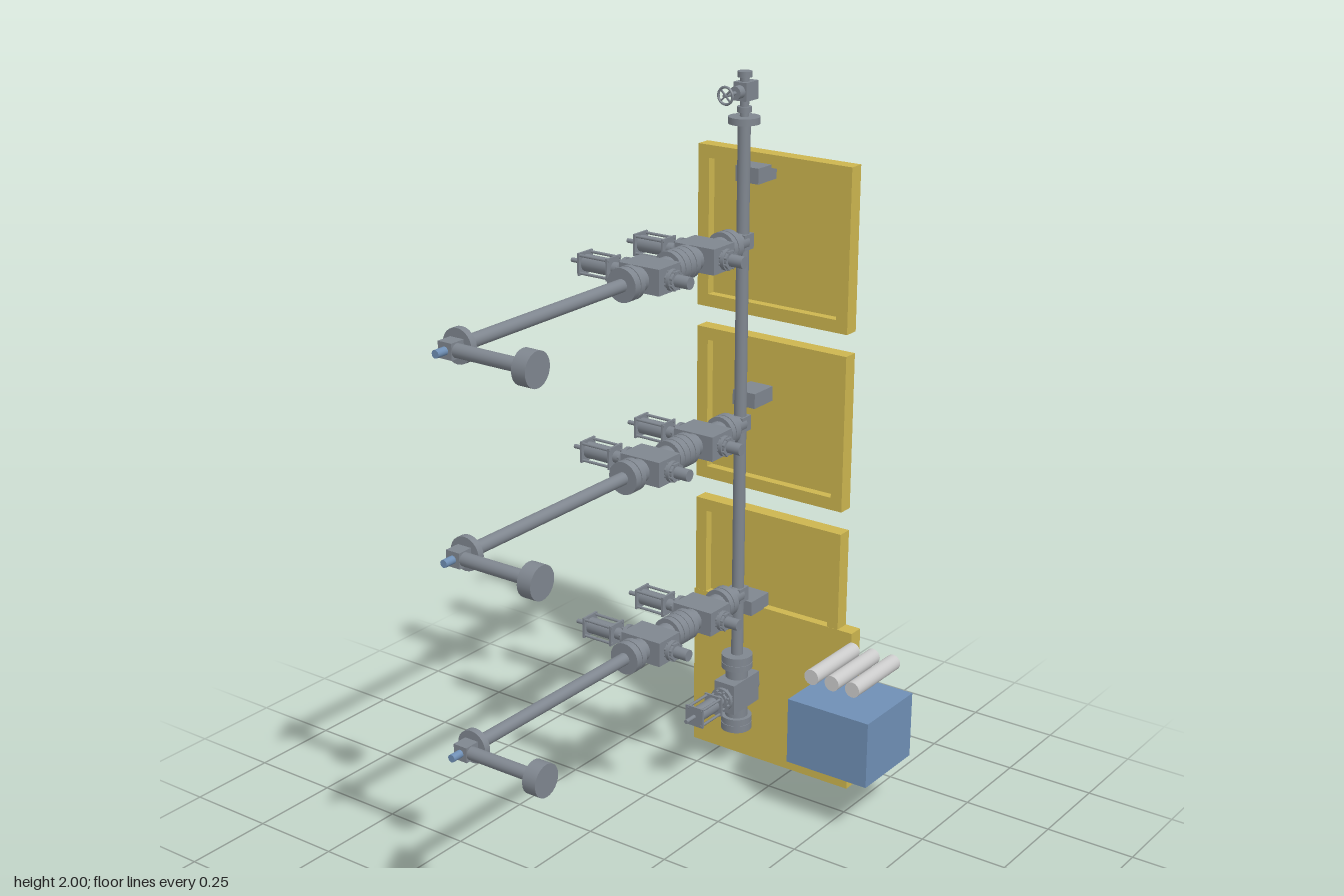
import * as THREE from 'three';

const mat = (color) => new THREE.MeshStandardMaterial({ color });
const steel = mat(0x7f868f), yellow = mat(0xccb54f), blue = mat(0x6f8fb5), grey = mat(0xcccccc);
const PX = -0.142, PZ = -0.54; // riser axis

function add(parent, name, geo, material, x = 0, y = 0, z = 0) {
  const m = new THREE.Mesh(geo, material);
  m.name = name;
  m.position.set(x, y, z);
  parent.add(m);
  return m;
}

const box = (parent, name, material, x0, x1, y0, y1, z0, z1) =>
  add(parent, name, new THREE.BoxGeometry(x1 - x0, y1 - y0, z1 - z0), material,
    (x0 + x1) / 2, (y0 + y1) / 2, (z0 + z1) / 2);

// cylinder along an axis, from a to b on that axis; c holds the centre of the other two axes
function rod(parent, name, axis, a, b, r, c = [0, 0, 0], material = steel, sides = 24) {
  const geo = new THREE.CylinderGeometry(r, r, Math.abs(b - a), sides);
  if (axis === 'x') geo.rotateZ(Math.PI / 2);
  if (axis === 'z') geo.rotateX(Math.PI / 2);
  const m = add(parent, name, geo, material, ...c);
  m.position[axis] = (a + b) / 2;
  return m;
}

function group(parent, name) {
  const g = new THREE.Group();
  g.name = name;
  parent.add(g);
  return g;
}

// gate valve: flow along z, actuator towards -x
function valve(parent) {
  const v = group(parent, 'gateValve');
  box(v, 'valveBody', steel, -0.062, 0.062, -0.034, 0.034, -0.045, 0.045);
  rod(v, 'valveNeck', 'z', -0.116, 0.116, 0.032);
  for (const s of [-1, 1]) {
    rod(v, 'innerFlange', 'z', s * 0.075, s * 0.092, 0.044);
    rod(v, 'outerFlange', 'z', s * 0.095, s * 0.116, 0.044);
    rod(v, 'bonnetNeck', 'x', s * 0.06, s * 0.085, 0.024);
    rod(v, 'bonnetFlange', 'x', s * 0.068, s * 0.078, s < 0 ? 0.034 : 0.028);
    for (let i = 0; i < 8; i++) {
      const a = (i + 0.5) * Math.PI / 4, r = s < 0 ? 0.028 : 0.023;
      rod(v, 'bonnetBolt', 'x', s * 0.062, s * 0.086, 0.004, [0, r * Math.cos(a), r * Math.sin(a)], steel, 6);
    }
  }
  rod(v, 'tailRodCover', 'x', 0.07, 0.125, 0.016);
  rod(v, 'actuatorStem', 'x', -0.115, -0.08, 0.016);
  rod(v, 'actuatorCylinder', 'x', -0.2, -0.112, 0.022);
  for (const x of [-0.204, -0.114])
    box(v, 'actuatorPlate', steel, x - 0.003, x + 0.003, -0.029, 0.029, -0.029, 0.029);
  for (const y of [-1, 1]) for (const z of [-1, 1])
    rod(v, 'tieRod', 'x', -0.209, -0.109, 0.004, [0, y * 0.023, z * 0.023], steel, 8);
  rod(v, 'indicatorRod', 'x', -0.246, -0.2, 0.006);
  return v;
}

// panel with a shallow tray facing forward
function panel(parent, y0, y1) {
  const p = group(parent, 'backPanel');
  const x0 = -0.34, x1 = 0.14, w = 0.035;
  const shape = new THREE.Shape([[x0, y0], [x1, y0], [x1, y1], [x0, y1]].map((q) => new THREE.Vector2(...q)));
  shape.holes.push(new THREE.Path([[x0 + w, y0 + w], [x0 + w, y1 - w], [x1 - w, y1 - w], [x1 - w, y0 + w]]
    .map((q) => new THREE.Vector2(...q))));
  add(p, 'panelRim', new THREE.ExtrudeGeometry(shape, { depth: 0.025, bevelEnabled: false }), yellow, 0, 0, -0.641);
  box(p, 'panelSheet', yellow, x0, x1, y0, y1, -0.659, -0.641);
}

// one outlet branch at height y
function branch(parent, y) {
  const b = group(parent, 'branch');
  b.position.set(PX, y, 0);
  box(b, 'tee', steel, -0.021, 0.021, -0.021, 0.021, PZ - 0.021, PZ + 0.021);
  rod(b, 'teeOutlet', 'z', PZ, -0.47, 0.024);
  for (const z of [-0.366, -0.132]) valve(b).position.z = z;
  rod(b, 'flowPipe', 'z', -0.02, 0.59, 0.017);
  rod(b, 'pipeFlange', 'z', 0.572, 0.59, 0.043);
  box(b, 'elbow', steel, -0.02, 0.02, -0.02, 0.02, 0.59, 0.632);
  rod(b, 'elbowPlug', 'z', 0.63, 0.664, 0.01, [0, 0, 0], blue);
  rod(b, 'crossPipe', 'x', 0, 0.22, 0.017, [0, 0, 0.614]);
  rod(b, 'endHub', 'x', 0.213, 0.252, 0.043, [0, 0, 0.614]);
}

// small hand valve above the riser
function topValve(parent) {
  const t = group(parent, 'topValve');
  t.position.set(PX, 0, PZ);
  rod(t, 'topNeck', 'y', 1.88, 1.99, 0.012);
  rod(t, 'lowerCollar', 'y', 1.895, 1.91, 0.019);
  rod(t, 'upperCollar', 'y', 1.985, 2, 0.019);
  box(t, 'topBody', steel, -0.02, 0.02, 1.926, 1.974, -0.033, 0.022);
  rod(t, 'bonnet', 'z', 0.02, 0.044, 0.017, [0, 1.95, 0]);
  rod(t, 'wheelStem', 'z', 0.03, 0.092, 0.005, [0, 1.95, 0]);
  add(t, 'handWheel', new THREE.TorusGeometry(0.022, 0.0035, 8, 24), steel, 0, 1.95, 0.086);
  for (let i = 0; i < 2; i++)
    box(t, 'wheelSpoke', steel, -0.022, 0.022, 1.948, 1.952, 0.084, 0.088).rotation.z = Math.PI / 4 + i * Math.PI / 2;
}

export function createModel() {
  const model = new THREE.Group();
  model.name = 'pipeManifold';

  // panels and base plate
  for (const [y0, y1] of [[0.32, 0.765], [0.83, 1.27], [1.33, 1.775]]) panel(model, y0, y1);
  box(model, 'basePlate', yellow, -0.344, 0.186, 0, 0.482, -0.66, -0.6155);

  // riser with its wall brackets
  rod(model, 'riser', 'y', 0.34, 1.88, 0.017, [PX, 0, PZ]);
  rod(model, 'riserFlange', 'y', 1.866, 1.884, 0.042, [PX, 0, PZ]);
  for (const y of [0.5, 1.113, 1.728])
    box(model, 'wallBracket', steel, PX - 0.036, PX + 0.036, y - 0.021, y + 0.021, -0.642, -0.555);
  topValve(model);

  for (const y of [0.545, 1.05, 1.555]) branch(model, y);

  // valve at the foot of the riser, actuator to the front
  const foot = valve(model);
  foot.name = 'footValve';
  foot.quaternion.setFromRotationMatrix(new THREE.Matrix4().makeBasis(
    new THREE.Vector3(0, 0, -1), new THREE.Vector3(-1, 0, 0), new THREE.Vector3(0, 1, 0)));
  foot.position.set(PX, 0.245, PZ);
  rod(model, 'footInlet', 'y', 0.15, 0.168, 0.042, [PX, 0, PZ]);
  rod(model, 'footOutlet', 'y', 0.33, 0.36, 0.042, [PX, 0, PZ]);

  // control cabinet with three bottles
  box(model, 'controlCabinet', blue, 0.132, 0.384, 0.17, 0.36, -0.6155, -0.385);
  for (const x of [0.192, 0.256, 0.32]) rod(model, 'bottle', 'z', -0.6155, -0.404, 0.022, [x, 0.435, 0], grey);

  return model;
}
